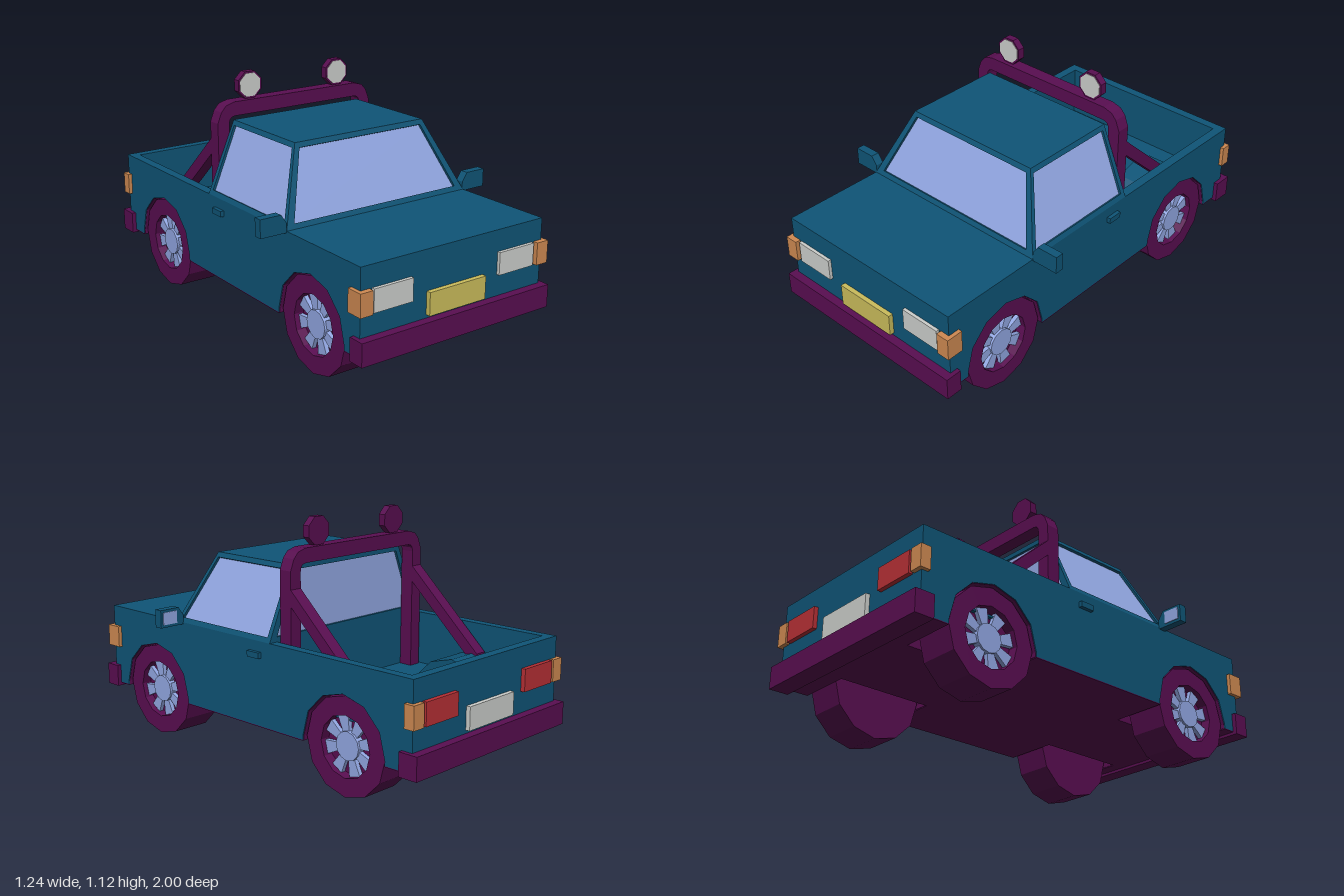
import * as THREE from 'three';

const paint = (color) => new THREE.MeshStandardMaterial({ color, flatShading: true });

export function createModel() {
  const truck = new THREE.Group();
  truck.name = 'pickupTruck';
  const named = (name, color) => {
    const m = paint(color);
    m.name = name;
    return m;
  };
  const teal = named('bodyTeal', 0x0f5577);
  const purple = named('trimPurple', 0x590e51);
  const blue = named('glassBlue', 0x93a8e4);
  const white = named('lampWhite', 0xcdcfcc);
  const orange = named('indicatorOrange', 0xcf8a52);
  const yellow = named('plateYellow', 0xcbbd5c);
  const red = named('tailRed', 0xb83036);

  function add(name, geometry, material, parent = truck) {
    const mesh = new THREE.Mesh(geometry, material);
    mesh.name = name;
    parent.add(mesh);
    return mesh;
  }

  // Box given by its limits on each axis
  function box(name, [x0, x1], [y0, y1], [z0, z1], material) {
    const g = new THREE.BoxGeometry(x1 - x0, y1 - y0, z1 - z0);
    g.translate((x0 + x1) / 2, (y0 + y1) / 2, (z0 + z1) / 2);
    return add(name, g, material);
  }

  // Range on the x axis, mirrored for the right-hand side
  const side = (s, a, b) => (s > 0 ? [a, b] : [-b, -a]);

  // Outline of [z, y] points extruded along x
  function sidePrism(name, points, [x0, x1], material) {
    const shape = new THREE.Shape(points.map(([z, y]) => new THREE.Vector2(-z, y)));
    const g = new THREE.ExtrudeGeometry(shape, { depth: x1 - x0, bevelEnabled: false });
    g.rotateY(Math.PI / 2).translate(x0, 0, 0);
    return add(name, g, material);
  }

  // Outline of [x, y] points extruded along z
  function frontPrism(name, points, [z0, z1], material) {
    const shape = new THREE.Shape(points.map(([x, y]) => new THREE.Vector2(x, y)));
    const g = new THREE.ExtrudeGeometry(shape, { depth: z1 - z0, bevelEnabled: false });
    return add(name, g.translate(0, 0, z0), material);
  }

  const base = 0.2, deck = 0.585, axleY = 0.22, axles = [0.63, -0.59];

  // Twelve-sided wheel arch, from its rear foot to its front foot
  function arch(zc, r) {
    const pts = [[zc - r, base]];
    for (let i = 6; i >= 0; i--) {
      const a = (i * Math.PI) / 6;
      pts.push([zc + r * Math.cos(a), axleY + r * Math.sin(a)]);
    }
    pts.push([zc + r, base]);
    return pts;
  }

  // Body shell
  const profile = [[-0.96, base], ...arch(axles[1], 0.23), ...arch(axles[0], 0.23),
    [0.96, base], [0.96, deck], [-0.96, deck]];
  for (const s of [1, -1]) sidePrism('bodySide', profile, side(s, 0.445, 0.49), teal);
  const inner = [-0.445, 0.445];
  box('hood', inner, [0.5, deck], [-0.16, 0.96], teal);
  box('nose', inner, [base, deck], [0.91, 0.96], teal);
  box('tailgate', inner, [base, deck], [-0.96, -0.915], teal);
  box('bulkhead', inner, [base, deck], [-0.16, -0.11], teal);
  box('bedFloor', inner, [0.325, 0.335], [-0.915, -0.16], teal);
  // The wells pass through the floor, so the underside is pieced around them
  box('underside', [-0.23, 0.23], [0.196, base], [-0.96, 0.96], purple);
  for (const s of [1, -1]) {
    for (const z of [[-0.96, -0.82], [-0.36, 0.4], [0.86, 0.96]]) {
      box('undersideEdge', side(s, 0.23, 0.49), [0.196, base], z, purple);
    }
  }

  // Wheel wells, with body-coloured humps in the bed
  const band = (zc, r, t) => [...arch(zc, r + t), ...arch(zc, r).reverse()];
  for (const s of [1, -1]) {
    for (const zc of axles) {
      sidePrism('wellLiner', band(zc, 0.228, 0.006), side(s, 0.23, 0.486), purple);
      sidePrism('wellEnd', arch(zc, 0.234), side(s, 0.226, 0.23), purple);
    }
    sidePrism('bedHump', band(axles[1], 0.234, 0.005), side(s, 0.226, 0.446), teal);
    sidePrism('bedHumpEnd', arch(axles[1], 0.239), side(s, 0.222, 0.226), teal);
  }

  // Wheels: tyre with a recessed rim, eight spokes and a hub
  const tyreProfile = [[0, -0.0925], [0.22, -0.0925], [0.22, 0.0925], [0.137, 0.0925],
    [0.137, 0.045], [0, 0.045]].map(([r, h]) => new THREE.Vector2(r, h));
  const tyre = new THREE.LatheGeometry(tyreProfile, 12).rotateZ(-Math.PI / 2);
  const spoke = new THREE.ExtrudeGeometry(
    new THREE.Shape([[-0.016, 0.05], [0.016, 0.05], [0.03, 0.131], [-0.03, 0.131]]
      .map(([x, y]) => new THREE.Vector2(x, y))),
    { depth: 0.02, bevelEnabled: false });
  spoke.rotateY(Math.PI / 2).translate(0.05, 0, 0);
  const hub = new THREE.CylinderGeometry(0.064, 0.064, 0.04, 12)
    .rotateZ(-Math.PI / 2).translate(0.06, 0, 0);
  for (const s of [1, -1]) {
    for (const zc of axles) {
      const wheel = new THREE.Group();
      wheel.name = 'wheel';
      add('tyre', tyre, purple, wheel);
      add('hub', hub, blue, wheel);
      for (let i = 0; i < 8; i++) {
        add('spoke', spoke, blue, wheel).rotation.x = ((i + 0.33) * Math.PI) / 4;
      }
      wheel.position.set(s * 0.3825, axleY, zc);
      if (s < 0) wheel.rotation.y = Math.PI;
      truck.add(wheel);
    }
  }

  // Cab wall with a recessed window; corners run counter-clockwise seen from outside
  function quads(list) {
    const pos = [];
    for (const [a, b, c, d] of list) for (const p of [a, b, c, a, c, d]) pos.push(p.x, p.y, p.z);
    const g = new THREE.BufferGeometry();
    g.setAttribute('position', new THREE.Float32BufferAttribute(pos, 3));
    g.computeVertexNormals();
    return g;
  }
  function cabWall(name, corners) {
    const c = corners.map((p) => new THREE.Vector3(...p));
    const at = (u, v) => c[0].clone().lerp(c[1], u).lerp(c[3].clone().lerp(c[2], u), v);
    const u = 0.037, v = 0.068;
    const rim = [at(u, v), at(1 - u, v), at(1 - u, 1 - v), at(u, 1 - v)];
    const n = c[1].clone().sub(c[0]).cross(c[3].clone().sub(c[0])).normalize();
    const pane = rim.map((p) => p.clone().addScaledVector(n, -0.012));
    const frame = [];
    for (let i = 0; i < 4; i++) {
      const j = (i + 1) % 4;
      frame.push([c[i], c[j], rim[j], rim[i]], [rim[i], rim[j], pane[j], pane[i]]);
    }
    add(name + 'Frame', quads(frame), teal);
    add(name + 'Glass', quads([pane]), blue);
  }
  const low = { x: 0.49, y: deck, f: 0.465, b: -0.16 };
  const top = { x: 0.35, y: 0.91, f: 0.325, b: -0.16 };
  const corner = (l, sx, end) => [sx * l.x, l.y, l[end]];
  const wall = (name, s0, e0, s1, e1) => cabWall(name,
    [corner(low, s0, e0), corner(low, s1, e1), corner(top, s1, e1), corner(top, s0, e0)]);
  wall('windscreen', -1, 'f', 1, 'f');
  wall('leftWindow', 1, 'f', 1, 'b');
  wall('rearWindow', 1, 'b', -1, 'b');
  wall('rightWindow', -1, 'b', -1, 'f');
  box('roof', [-0.35, 0.35], [0.892, 0.91], [-0.16, 0.325], teal);

  // Roll bar with rounded shoulders
  const outer = [[0.43, 0.33], [0.43, 0.9], [0.41, 0.95], [0.385, 0.977], [0.34, 0.99]];
  const inside = [[0.34, 0.925], [0.358, 0.92], [0.367, 0.908], [0.37, 0.89], [0.37, 0.33]];
  const flip = (pts) => pts.map(([x, y]) => [-x, y]).reverse();
  frontPrism('rollBar', [...outer, ...flip(outer), ...flip(inside), ...inside], [-0.23, -0.165], purple);

  for (const s of [1, -1]) {
    // Brace from the roll bar to the bed hump
    sidePrism('rollBarBrace', [[-0.21, 0.838], [-0.62, 0.462], [-0.62, 0.39], [-0.21, 0.765]],
      side(s, 0.37, 0.43), purple);

    // Spotlight
    const lamp = new THREE.Group();
    lamp.name = 'spotlight';
    const disc = (r, d) => new THREE.CylinderGeometry(r, r, d, 8).rotateX(Math.PI / 2).rotateZ(Math.PI / 8);
    add('lampHousing', disc(0.067, 0.035), purple, lamp);
    add('lampLens', disc(0.058, 0.006), white, lamp).position.z = 0.017;
    lamp.position.set(s * 0.245, 1.054, -0.2);
    truck.add(lamp);

    // Door mirror and handle
    frontPrism('mirror', [[0.488, 0.577], [0.618, 0.577], [0.618, 0.66], [0.515, 0.66], [0.488, 0.62]]
      .map(([x, y]) => [s * x, y]), [0.422, 0.462], teal);
    box('mirrorGlass', side(s, 0.528, 0.606), [0.59, 0.648], [0.418, 0.423], blue);
    box('doorHandle', side(s, 0.485, 0.508), [0.51, 0.537], [-0.105, -0.033], teal);

    // Lamps
    const h = [0.385, 0.487];
    box('headlight', side(s, 0.235, 0.433), h, [0.955, 0.975], white);
    box('tailLight', side(s, 0.23, 0.433), h, [-0.98, -0.955], red);
    box('frontIndicator', side(s, 0.445, 0.508), h, [0.905, 0.985], orange);
    box('rearIndicator', side(s, 0.445, 0.508), h, [-0.98, -0.93], orange);
  }

  // Bumpers and plates
  box('frontBumper', [-0.51, 0.51], [0.183, 0.287], [0.922, 1], purple);
  box('rearBumper', [-0.51, 0.51], [0.183, 0.287], [-1, -0.907], purple);
  box('frontPlate', [-0.152, 0.152], [0.302, 0.405], [0.955, 0.982], yellow);
  box('rearPlate', [-0.152, 0.152], [0.302, 0.405], [-0.98, -0.955], white);

  return truck;
}
